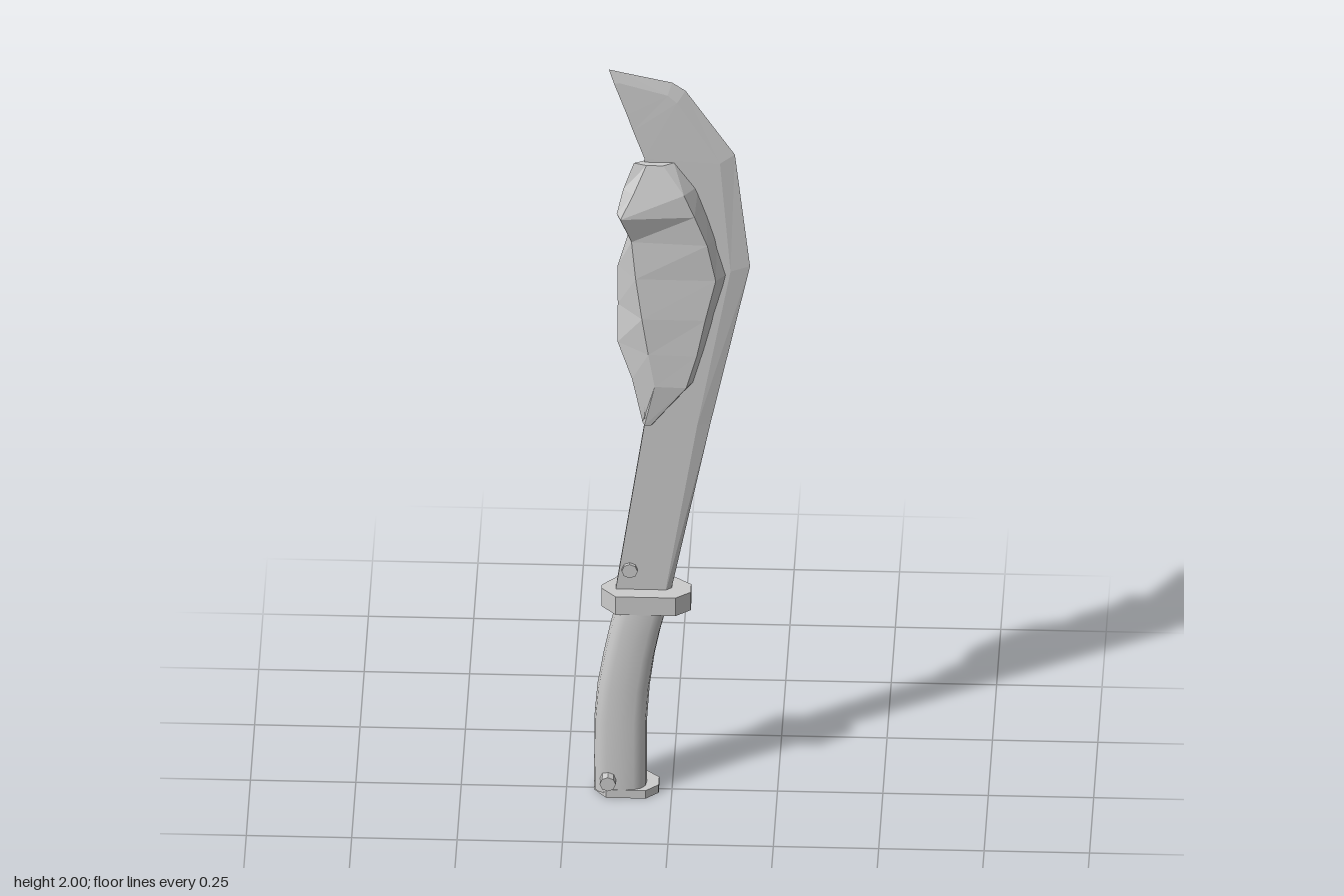
import * as THREE from 'three';

const material = (flat) => new THREE.MeshStandardMaterial({ color: 0xcccccc, flatShading: flat });

function add(group, name, geometry, flat = true) {
  const mesh = new THREE.Mesh(geometry, material(flat));
  mesh.name = name;
  group.add(mesh);
  return mesh;
}

// Skin a stack of rings, bottom to top; each ring is counter-clockwise seen from above.
function loft(rings, caps = true) {
  const n = rings[0].length, top = (rings.length - 1) * n, index = [];
  for (let r = 0; r < rings.length - 1; r++) {
    for (let i = 0; i < n; i++) {
      const a = r * n + i, b = r * n + (i + 1) % n;
      index.push(a, b, b + n, a, b + n, a + n);
    }
  }
  if (caps) {
    for (let i = 1; i < n - 1; i++) index.push(0, i + 1, i, top, top + i, top + i + 1);
  }
  const geometry = new THREE.BufferGeometry();
  geometry.setAttribute('position', new THREE.Float32BufferAttribute(rings.flat(2), 3));
  geometry.setIndex(index);
  geometry.computeVertexNormals();
  return geometry;
}

// Flat plate with chamfered ends, lying level between y0 and y1.
function plate(x0, x1, chamfer, halfZ, y0, y1) {
  const outline = [
    [x0, -0.008], [x0, 0.008], [x0 + chamfer, halfZ], [x1 - chamfer, halfZ],
    [x1, 0.018], [x1, -0.018], [x1 - chamfer, -halfZ], [x0 + chamfer, -halfZ],
  ];
  return loft([y0, y1].map((y) => outline.map(([x, z]) => [x, y, z])));
}

function pin(group, name, x, y, length) {
  const geometry = new THREE.CylinderGeometry(0.019, 0.019, length, 8).rotateX(Math.PI / 2);
  add(group, name, geometry).position.set(x, y, 0);
}

export function createModel() {
  const model = new THREE.Group();
  model.name = 'machete';

  // Blade stations: spine x,y / bevel start x,y / cutting edge x,y / half thickness
  const blade = [
    [-0.136, 0.54, -0.018, 0.54, -0.005, 0.54, 0.01],
    [-0.065, 1.02, 0.06, 1.02, 0.091, 1.02, 0.01],
    [-0.06, 1.46, 0.139, 1.45, 0.185, 1.46, 0.01],
    [-0.065, 1.76, 0.114, 1.75, 0.149, 1.77, 0.01],
    [-0.092, 1.835, 0.012, 1.915, 0.032, 1.945, 0.009],
    [-0.107, 1.88, -0.01, 1.935, 0.0, 1.967, 0.008],
    [-0.137, 1.963, -0.125, 1.966, -0.12, 1.993, 0.006],
    [-0.15, 2, -0.15, 2, -0.15, 2, 0],
  ];
  add(model, 'blade', loft(blade.map(([sx, sy, bx, by, ex, ey, t]) => [
    [sx, sy, t], [bx, by, t], [ex, ey, 0], [bx, by, -t], [sx, sy, -t],
  ])));

  // Rocky growth on the blade: y, then x,z of left, two front, right, three back corners
  const rock = [
    [1.02, -0.07, 0, -0.065, 0.015, -0.05, 0.015, -0.04, 0, -0.045, -0.015, -0.055, -0.02, -0.065, -0.02],
    [1.14, -0.095, 0, -0.04, 0.035, 0.035, 0.038, 0.055, 0, 0.04, -0.02, 0, -0.028, -0.06, -0.035],
    [1.23, -0.13, -0.02, -0.055, 0.037, 0.06, 0.04, 0.08, 0, 0.07, -0.025, 0, -0.035, -0.09, -0.05],
    [1.33, -0.13, -0.03, -0.07, 0.04, 0.08, 0.04, 0.105, 0, 0.095, -0.028, 0.005, -0.04, -0.06, -0.067],
    [1.44, -0.13, -0.025, -0.085, 0.037, 0.105, 0.038, 0.135, 0, 0.11, -0.03, 0.01, -0.035, -0.06, -0.035],
    [1.54, -0.105, 0, -0.095, 0.032, 0.085, 0.042, 0.107, 0, 0.085, -0.035, 0.01, -0.068, -0.08, -0.03],
    [1.62, -0.13, 0.035, -0.12, 0.063, 0.055, 0.045, 0.083, 0, 0.065, -0.035, 0.02, -0.055, -0.06, -0.03],
    [1.68, -0.115, 0.02, -0.09, 0.045, 0.03, 0.045, 0.062, 0, 0.04, -0.03, 0.01, -0.045, -0.06, -0.045],
    [1.75, -0.09, 0.015, -0.06, 0.025, -0.02, 0.025, 0.005, 0.01, -0.005, 0, -0.02, 0, -0.06, 0],
  ];
  add(model, 'rockGrowth', loft(rock.map(([y, ...p]) =>
    [0, 2, 4, 6, 8, 10, 12].map((i) => [p[i], y, p[i + 1]]))));

  // Curved grip: y, left x, right x
  const grip = [
    [0.01, -0.185, -0.059], [0.2, -0.184, -0.059], [0.29, -0.177, -0.053],
    [0.38, -0.162, -0.041], [0.45, -0.148, -0.027], [0.53, -0.13, -0.007],
  ];
  const sides = 16;
  const squash = (v) => Math.sign(v) * Math.abs(v) ** 0.7;
  add(model, 'grip', loft(grip.map(([y, x0, x1]) => Array.from({ length: sides }, (_, i) => {
    const a = 2 * Math.PI * i / sides;
    return [(x0 + x1) / 2 + squash(Math.cos(a)) * (x1 - x0) / 2, y, -squash(Math.sin(a)) * 0.045];
  })), false), false);

  // Guard and pommel plates
  add(model, 'guard', plate(-0.167, 0.045, 0.035, 0.046, 0.51, 0.56));
  add(model, 'pommel', plate(-0.185, -0.031, 0.03, 0.046, 0, 0.022));

  // Pins through the pommel end and the blade root
  pin(model, 'pommelPin', -0.15, 0.05, 0.134);
  pin(model, 'bladePin', -0.1, 0.615, 0.038);

  return model;
}
